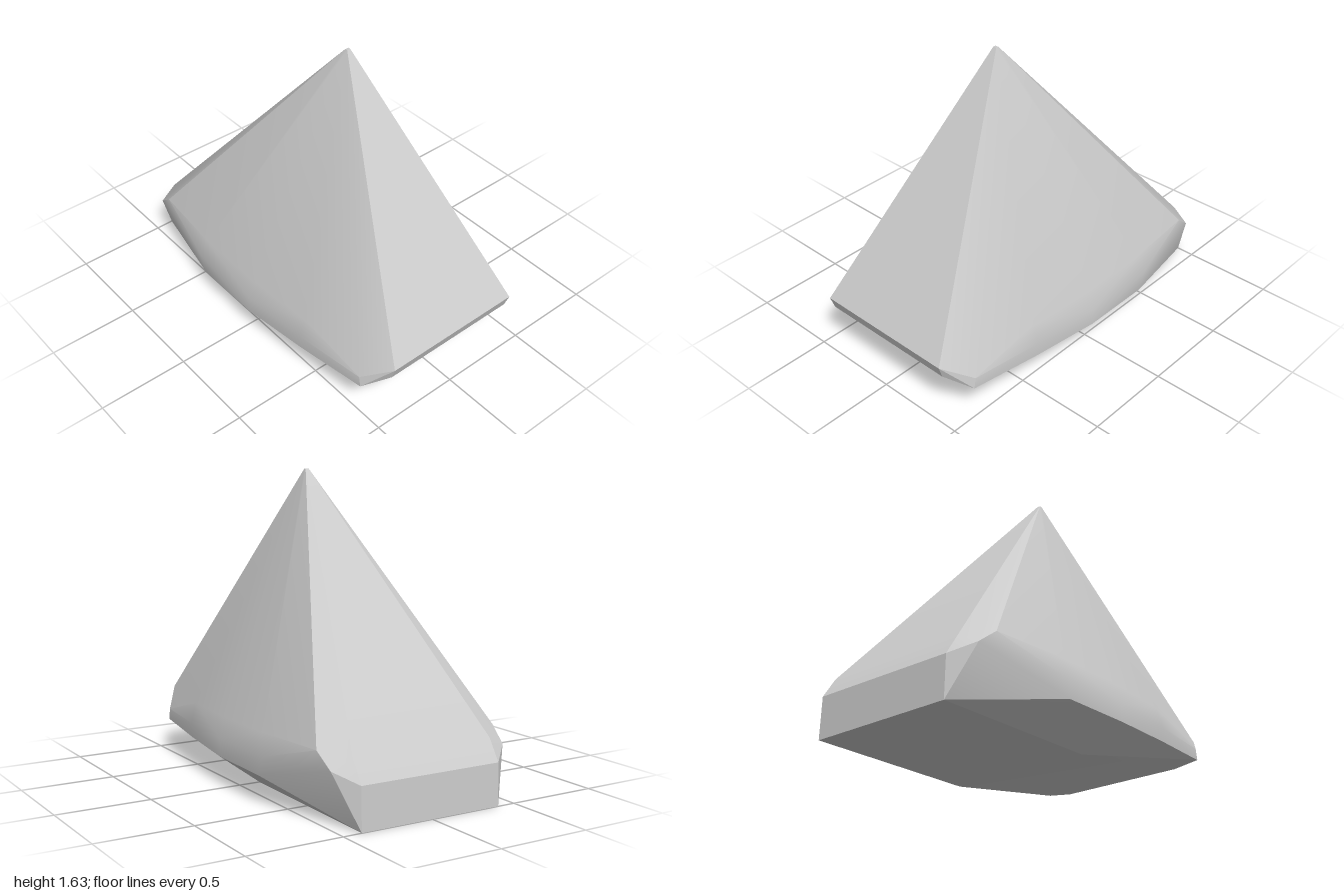
import * as THREE from 'three';
import { ConvexGeometry } from 'three/addons/geometries/ConvexGeometry.js';
import { toCreasedNormals } from 'three/addons/utils/BufferGeometryUtils.js';

// Corners of the left half [x, y, z]; the right half is mirrored
const corners = [
  // blunt tip
  [0.01, 1.63, 0.145], [0.01, 1.63, 0.16],
  // front lip and chamfer
  [0.405, 0.35, 1.0], [0.4, 0.28, 0.975], [0.36, 0.17, 0.86], [0.505, 0.19, 0.86], [0.505, 0.25, 0.85],
  // shoulder under the sloping side
  [0.53, 0.36, 0.45], [0.56, 0.36, 0.05], [0.56, 0.36, -0.36], [0.52, 0.36, -0.8],
  // widest band
  [0.557, 0.25, 0.45], [0.59, 0.25, 0.05], [0.588, 0.25, -0.4],
  [0.555, 0.172, 0.45], [0.59, 0.155, 0.05], [0.588, 0.15, -0.36],
  // back end
  [0.505, 0.28, -0.9], [0.4, 0.33, -0.925], [0.4, 0.22, -0.995],
  // flat underside
  [0.4, 0.0, -1.0], [0.4, 0.01, -0.03],
];

export function createModel() {
  const group = new THREE.Group();
  const grey = new THREE.MeshStandardMaterial({ color: 0xcccccc });
  grey.name = 'light grey';

  const points = corners.flatMap(([x, y, z]) => [
    new THREE.Vector3(x, y, z),
    new THREE.Vector3(-x, y, z),
  ]);

  // Soft facets on the flanks, crisp main edges
  const body = new THREE.Mesh(toCreasedNormals(new ConvexGeometry(points), 0.4), grey);
  body.name = 'facetedBody';
  group.add(body);
  return group;
}
